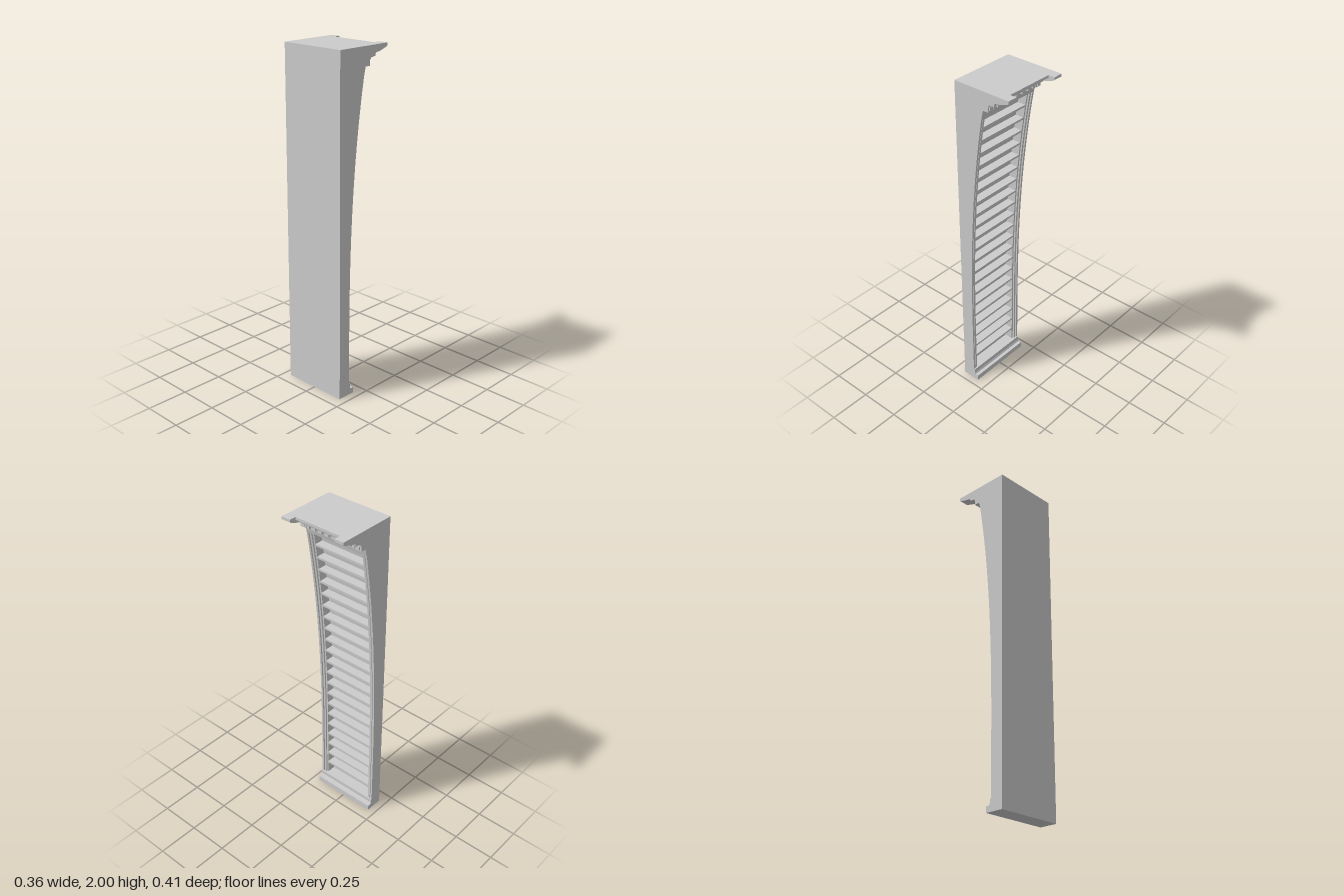
import * as THREE from 'three';

const BACK = -0.18, HALF = 0.205, INNER = 0.165;
const FOOT = 0.07, HEAD = 1.845;

// Curved front edge: nearly upright at the foot, sweeping forward at the head
const frontX = (y) => -0.103 + 0.103 * Math.pow(Math.max(0, (y - 0.3) / 1.545), 2.6);

export function createModel() {
  const model = new THREE.Group();
  const material = new THREE.MeshStandardMaterial({ color: 0xcccccc, flatShading: true });

  const add = (name, geometry) => {
    const mesh = new THREE.Mesh(geometry, material);
    mesh.name = name;
    model.add(mesh);
    return mesh;
  };

  // Side profile (x, y) extruded between two z values
  const slab = (name, points, z0, z1) => {
    const shape = new THREE.Shape(points.map(([x, y]) => new THREE.Vector2(x, y)));
    const geometry = new THREE.ExtrudeGeometry(shape, { depth: z1 - z0, bevelEnabled: false });
    return add(name, geometry.translate(0, 0, z0));
  };

  const block = (name, x0, x1, y0, y1, z0, z1) => {
    const geometry = new THREE.BoxGeometry(x1 - x0, y1 - y0, z1 - z0);
    return add(name, geometry.translate((x0 + x1) / 2, (y0 + y1) / 2, (z0 + z1) / 2));
  };

  // Profile following the curved front, set back by an inset
  const curved = (inset) => {
    const points = [[BACK, HEAD], [BACK, FOOT]];
    const steps = 28;
    for (let i = 0; i <= steps; i++) {
      const y = FOOT + ((HEAD - FOOT) * i) / steps;
      points.push([frontX(y) - inset, y]);
    }
    return points;
  };

  // Back panel and moulded side frames
  slab('backPanel', curved(0.065), -INNER, INNER);
  const strips = [
    ['sidePanel', 0.193, HALF, 0],
    ['frameGroove', 0.187, 0.193, 0.014],
    ['frameBead', 0.175, 0.187, 0.003],
    ['frameInnerStep', INNER, 0.175, 0.012],
  ];
  for (const [name, z0, z1, inset] of strips) {
    slab(name + 'Left', curved(inset), z0, z1);
    slab(name + 'Right', curved(inset), -z1, -z0);
  }

  // Horizontal slats between the frames
  for (let i = 0; i < 21; i++) {
    const y = 1.765 - i * 0.0806;
    const x = frontX(y);
    block('slat', x - 0.072, x - 0.012, y - 0.006, y + 0.006, -INNER, INNER);
  }

  // Stepped plinth
  slab('plinth', [
    [BACK, 0], [-0.07, 0], [-0.07, 0.035], [-0.09, 0.035], [-0.096, 0.045], [-0.096, FOOT], [BACK, FOOT],
  ], -HALF, HALF);

  // Frieze and lower cornice
  slab('frieze', [
    [BACK, HEAD], [0, HEAD], [0.012, 1.893], [0.015, 1.925], [0.05, 1.925],
    [0.05, 1.935], [0.085, 1.94], [0.09, 1.957], [BACK, 1.957],
  ], -HALF, HALF);

  // Upper cornice: recessed centre between two projecting ends
  const cornice = (shift) => [
    [BACK, 1.957], [0.09 - shift, 1.957], [0.125 - shift, 1.963],
    [0.17 - shift, 1.978], [0.18 - shift, 1.985], [0.18 - shift, 2], [BACK, 2],
  ];
  slab('corniceCentre', cornice(0.04), -0.147, 0.147);
  slab('corniceEndLeft', cornice(0), 0.147, HALF);
  slab('corniceEndRight', cornice(0), -HALF, -0.147);

  // Row of dentils, with a larger studded block at each end
  const pitch = 0.047;
  for (let i = -3; i <= 2; i++) {
    const z = (i + 0.5) * pitch;
    block('dentil', 0.005, 0.045, 1.895, 1.926, z - 0.0135, z + 0.0135);
  }
  for (const side of [-1, 1]) {
    const z = side * 0.1855;
    block('dentil', 0.005, 0.045, 1.895, 1.926, side * 0.153 - 0.009, side * 0.153 + 0.009);
    block('endBlock', 0.005, 0.045, 1.893, 1.926, z - 0.0195, z + 0.0195);
    block('endBlockStud', 0.04, 0.05, 1.9, 1.92, z - 0.01, z + 0.01);
  }

  return model;
}
